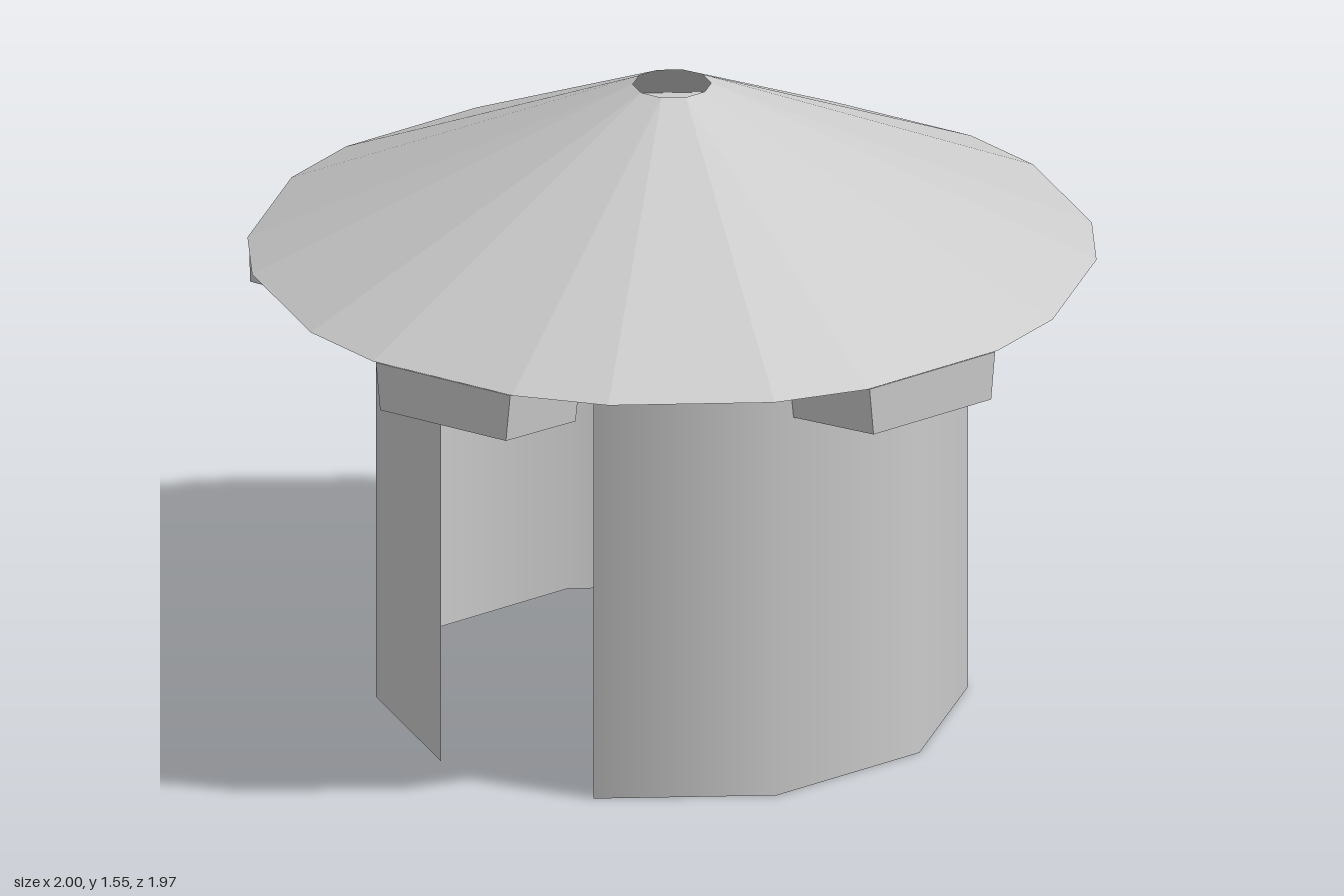
import * as THREE from 'three';

const material = new THREE.MeshStandardMaterial({ color: 0xcccccc, side: THREE.DoubleSide });
const flatMaterial = new THREE.MeshStandardMaterial({ color: 0xcccccc, side: THREE.DoubleSide, flatShading: true });

const SIDES = 10;
const STEP = (Math.PI * 2) / SIDES;
const WALL_R = 0.7, WALL_H = 1.13;
const WALL_Z = WALL_R * Math.cos(STEP / 2);
const HALF = WALL_R * Math.sin(STEP / 2); // half the width of one wall panel
const ROOF_R = 1.006, ROOF_TOP = 1.55, VENT_R = 0.093;
const EAVE_HALF = 0.197; // half angle of a long eave edge

function addMesh(parent, name, geometry, mat = flatMaterial) {
  const mesh = new THREE.Mesh(geometry, mat);
  mesh.name = name;
  parent.add(mesh);
  return mesh;
}

const polar = (a, r, y) => [Math.sin(a) * r, y, Math.cos(a) * r];

// Ring from an inner decagon to the twenty-sided eave: a quad per panel, a triangle per corner
function eaveRing(innerR, innerY, faceUp) {
  const p = [];
  const tri = (a, b, c) => p.push(...a, ...(faceUp ? b : c), ...(faceUp ? c : b));
  for (let i = 0; i < SIDES; i++) {
    const a = i * STEP;
    const in0 = polar(a - STEP / 2, innerR, innerY);
    const in1 = polar(a + STEP / 2, innerR, innerY);
    const out0 = polar(a - EAVE_HALF, ROOF_R, WALL_H);
    const out1 = polar(a + EAVE_HALF, ROOF_R, WALL_H);
    const next = polar(a + STEP - EAVE_HALF, ROOF_R, WALL_H);
    tri(in0, out0, out1);
    tri(in0, out1, in1);
    tri(in1, out1, next);
  }
  const g = new THREE.BufferGeometry();
  g.setAttribute('position', new THREE.Float32BufferAttribute(p, 3));
  g.computeVertexNormals();
  return g;
}

// Tapered bracket that rises from the wall to the eave
function bracketGeometry() {
  const g = new THREE.BoxGeometry(1, 1, 1);
  const pos = g.attributes.position;
  for (let i = 0; i < pos.count; i++) {
    const outer = pos.getZ(i) > 0, top = pos.getY(i) > 0;
    const half = outer ? (top ? 0.19 : 0.178) : (top ? 0.18 : 0.165);
    const y = outer ? (top ? WALL_H - 0.002 : 1.01) : (top ? 1.085 : 0.95);
    pos.setXYZ(i, Math.sign(pos.getX(i)) * half, y, outer ? 0.985 : WALL_Z);
  }
  g.computeVertexNormals();
  return g;
}

export function createModel() {
  const model = new THREE.Group();
  model.name = 'roundHut';

  // Curved walls, leaving the front panel open and the back panel for the alcove
  [['leftWall', 0], ['rightWall', Math.PI]].forEach(([name, turn]) => {
    const g = new THREE.CylinderGeometry(WALL_R, WALL_R, WALL_H, 4, 1, true, STEP / 2 + turn, STEP * 4);
    addMesh(model, name, g, material).position.y = WALL_H / 2;
  });

  // Back panel above the alcove
  const FRAME_H = 0.91, FRAME_BACK = 0.742, RIM = 0.03;
  const lintel = addMesh(model, 'backLintel', new THREE.PlaneGeometry(HALF * 2, WALL_H - FRAME_H));
  lintel.position.set(0, (WALL_H + FRAME_H) / 2, -WALL_Z);
  lintel.rotation.y = Math.PI;

  // Raised frame around the alcove
  const inX = HALF - RIM, inTop = FRAME_H - RIM;
  const outline = new THREE.Shape([[-HALF, 0], [HALF, 0], [HALF, FRAME_H], [-HALF, FRAME_H]]
    .map(([x, y]) => new THREE.Vector2(x, y)));
  outline.holes.push(new THREE.Path([[-inX, RIM], [-inX, inTop], [inX, inTop], [inX, RIM]]
    .map(([x, y]) => new THREE.Vector2(x, y))));
  const frame = new THREE.ExtrudeGeometry(outline, { depth: FRAME_BACK - WALL_Z, bevelEnabled: false });
  addMesh(model, 'alcoveFrame', frame).position.z = -FRAME_BACK;

  // Alcove reaching inwards: a box without its outer face
  const depth = 0.23;
  const alcove = new THREE.BoxGeometry(inX * 2, inTop - RIM, depth);
  alcove.setIndex(Array.from(alcove.index.array).slice(0, 30));
  addMesh(model, 'alcove', alcove).position.set(0, FRAME_H / 2, -FRAME_BACK + depth / 2);

  // Roof with an open vent, and the flat underside of the eaves
  addMesh(model, 'roof', eaveRing(VENT_R, ROOF_TOP, true));
  addMesh(model, 'soffit', eaveRing(WALL_R, WALL_H, false));

  // Five brackets under the eaves
  const bracket = bracketGeometry();
  for (let i = 0; i < 5; i++) addMesh(model, 'bracket', bracket).rotation.y = i * STEP * 2;

  return model;
}
